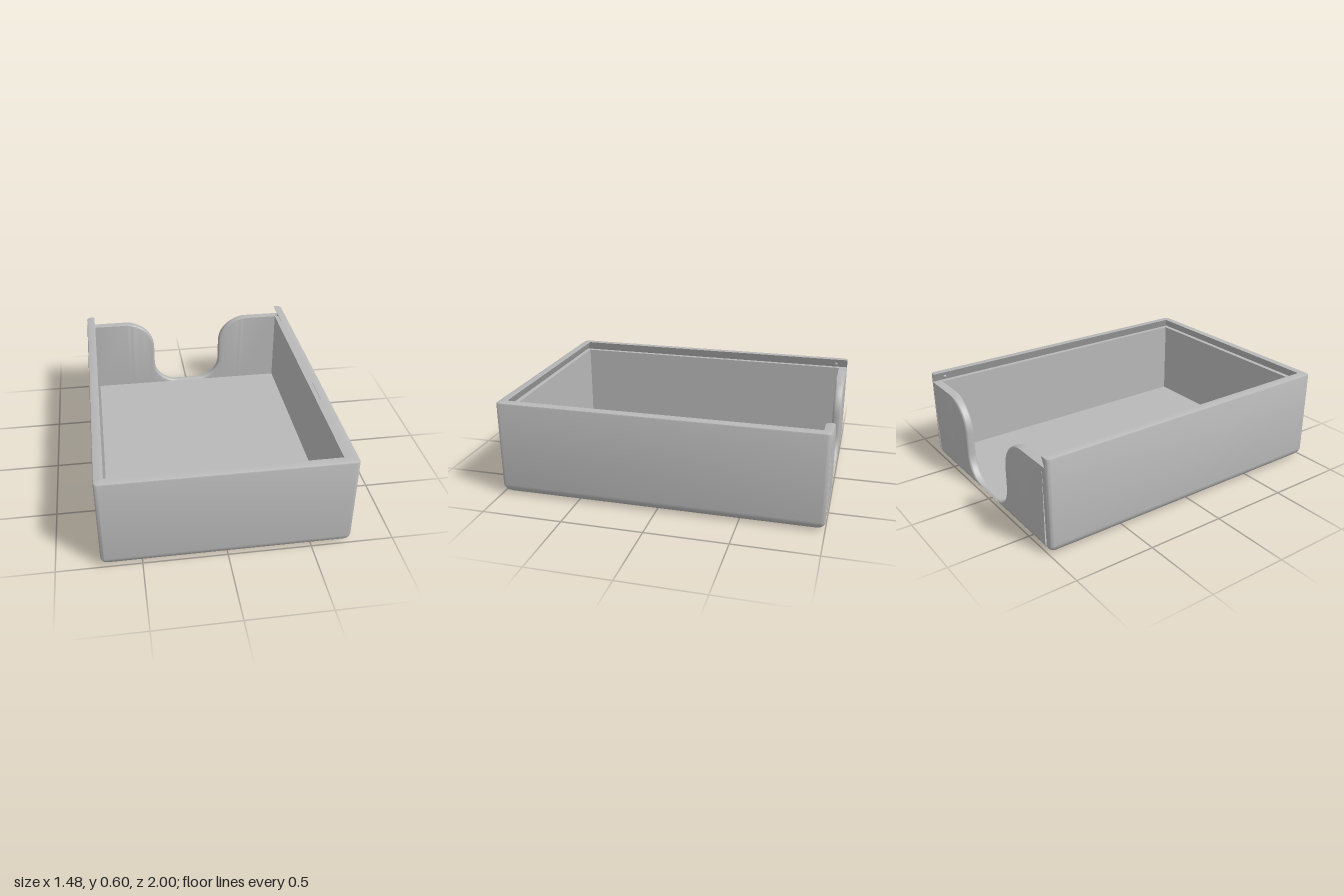
import * as THREE from 'three';
import { toCreasedNormals } from 'three/addons/utils/BufferGeometryUtils.js';

const W = 0.74, D = 1, H = 0.6;        // half width, half depth, height
const WALL = 0.055, FLOOR = 0.03, LEDGE = 0.54;
const R = 0.025, FILLET = 0.06;        // upright corner and bottom edge radii

// Inset of the outer surface at height y, from the rounded bottom edge
const inset = (y) => y >= FILLET ? 0 : FILLET - Math.sqrt(FILLET ** 2 - (FILLET - y) ** 2);

// Skin a list of equal-length cross-sections
function loft(sections, closed = false, capEnds = false) {
  const n = sections[0].length, index = [];
  const pos = sections.flat().flatMap((p) => [p.x, p.y, p.z]);
  for (let i = 0; i < sections.length - 1; i++) {
    for (let j = 0; j < (closed ? n : n - 1); j++) {
      const k = (j + 1) % n, a = i * n, b = a + n;
      index.push(a + j, b + j, b + k, a + j, b + k, a + k);
    }
  }
  if (capEnds) {
    for (const s of [0, sections.length - 1]) {
      let contour = sections[s].map((p, j) => Object.assign(new THREE.Vector2(p.x, p.y), { id: s * n + j }));
      if (THREE.ShapeUtils.area(contour) < 0) contour.reverse();
      for (const [a, b, c] of THREE.ShapeUtils.triangulateShape(contour, [])) {
        index.push(contour[a].id, contour[c].id, contour[b].id);
      }
    }
  }
  const g = new THREE.BufferGeometry();
  g.setAttribute('position', new THREE.Float32BufferAttribute(pos, 3));
  g.setIndex(index);
  return toCreasedNormals(g, 0.6);
}

// Base slab with rounded corners and bottom edge
function baseGeometry() {
  const plan = [];
  for (const [sx, sz, start] of [[1, 1, 0], [-1, 1, 1], [-1, -1, 2], [1, -1, 3]]) {
    for (let k = 0; k <= 5; k++) {
      const t = (start + k / 5) * Math.PI / 2;
      plan.push([sx * (W - R) + R * Math.cos(t), sz * (D - R) + R * Math.sin(t)]);
    }
  }
  const loop = (y) => plan.map(([x, z]) =>
    new THREE.Vector3(x * (1 - inset(y) / W), y, z * (1 - inset(y) / D)));
  const point = (y) => plan.map(() => new THREE.Vector3(0, y, 0));
  const heights = [0, 0.001, 0.004, 0.009, 0.016, 0.023, FLOOR];
  return loft([point(0), ...heights.map(loop), point(FLOOR)], true);
}

// Side and front walls with the undercut lid groove, as one U-shaped sweep
function wallsGeometry() {
  const profile = [
    [0, FLOOR], [0, 0.037], [0, 0.045], [0, 0.053], [0, FILLET],
    [0, 0.59], [0.003, 0.597], [0.01, H], [WALL, H],      // rim
    [0.025, LEDGE], [WALL, LEDGE], [WALL, FLOOR],         // groove and inner face
  ];
  const half = [];
  for (const back of [true, false]) {
    for (let k = 0; k <= 5; k++) {
      const t = k / 5 * Math.PI / 2;
      const c = back ? Math.sin(t) : Math.cos(t), s = back ? Math.cos(t) : Math.sin(t);
      half.push({ back, x: -(W - R) - R * c, z: (back ? -1 : 1) * (D - R + R * s) });
    }
  }
  const stations = [...half, ...half.map((p) => ({ ...p, x: -p.x })).reverse()];
  return loft(stations.map(({ back, x, z }) => profile.map(([d, y]) => {
    const f = inset(y);
    if (d < 0.02) return new THREE.Vector3(x * (1 - (f + d) / W), y, z * (1 - (f + (back ? 0 : d)) / D));
    return new THREE.Vector3(Math.sign(x) * (W - d), y, back ? z * (1 - f) : D - d);
  })), true, true);
}

// Low back wall with a rounded thumb cut-out
function backWallGeometry() {
  const half = [{ x: W - WALL, y: LEDGE, nx: 0, ny: -1, r: 0 }];
  const N = 16;
  for (let k = 0; k <= N; k++) {                            // upper, convex bend
    const t = Math.PI / 2 * (1 + k / N), c = Math.cos(t), s = Math.sin(t);
    half.push({ x: 0.45 + 0.2 * c, y: 0.34 + 0.2 * s, nx: -c, ny: -s, r: 0.016 * Math.min(1, k / 5) });
  }
  for (let k = 0; k <= N; k++) {                            // lower, concave bend
    const t = -Math.PI / 2 * k / N, c = Math.cos(t), s = Math.sin(t);
    half.push({ x: 0.08 + 0.17 * c, y: 0.205 + 0.17 * s, nx: c, ny: s, r: 0.016 });
  }
  const path = [...half, ...half.map((p) => ({ ...p, x: -p.x, nx: -p.nx })).reverse()];
  return loft(path.map(({ x, y, nx, ny, r }) => {
    const edge = (t, outer) => {
      const o = r * (1 - Math.sin(t)), i = r * (1 - Math.cos(t));
      const py = Math.max(FLOOR, y + ny * o);
      return new THREE.Vector3(x + nx * o, py, outer ? -D + inset(py) + i : -D + WALL - i);
    };
    const out = [], inn = [];
    for (let k = 0; k <= 5; k++) {
      out.push(edge(k / 5 * Math.PI / 2, true));
      inn.unshift(edge(k / 5 * Math.PI / 2, false));
    }
    const foot = [FLOOR, 0.037, 0.045, 0.053, FILLET].map((h) => {
      const py = Math.min(h, out[0].y);
      return new THREE.Vector3(out[0].x, py, -D + inset(py));
    });
    const end = inn[inn.length - 1];
    return [...foot, ...out, ...inn, new THREE.Vector3(end.x, FLOOR, end.z)];
  }));
}

export function createModel() {
  const group = new THREE.Group();
  group.name = 'slidingLidBox';
  const grey = new THREE.MeshStandardMaterial({ color: 0xb8b8b8 });
  grey.name = 'grey';
  const add = (name, geometry) => {
    const mesh = new THREE.Mesh(geometry, grey);
    mesh.name = name;
    group.add(mesh);
    return mesh;
  };
  add('base', baseGeometry());
  add('sideAndFrontWalls', wallsGeometry());
  add('backWall', backWallGeometry());

  // Small bumps in the groove that hold the lid shut
  for (const side of [-1, 1]) {
    add(side > 0 ? 'leftLidCatch' : 'rightLidCatch', new THREE.SphereGeometry(0.012, 16, 10))
      .position.set(side * 0.705, 0.565, -0.92);
  }
  return group;
}
